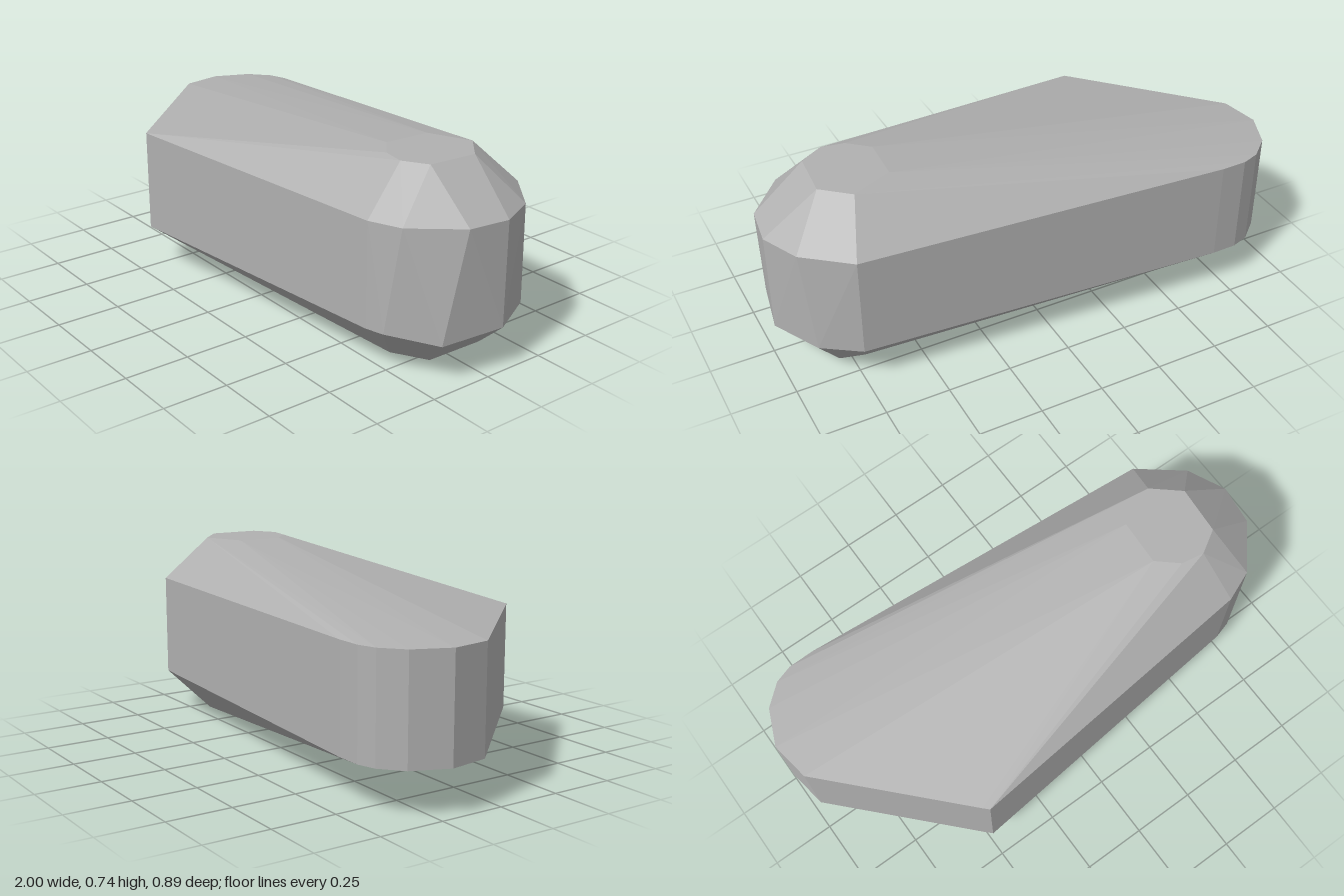
import * as THREE from 'three';
import { ConvexGeometry } from 'three/addons/geometries/ConvexGeometry.js';

export function createModel() {
  const group = new THREE.Group();
  const stoneGrey = new THREE.MeshStandardMaterial({ color: 0xb0b0b0 });
  stoneGrey.name = 'stone grey';

  // place [x, z] outline points at a height; a third number overrides it
  const ring = (y, pts) => pts.map(([x, z, h = y]) => new THREE.Vector3(x, h, z));

  // outline shared by both edges of the upright wall
  const wall = [
    [0.72, 0.32], [-0.47, 0.44], [-0.5, 0.445], [-0.52, 0.425],
    [-0.975, -0.055], [-1, -0.21], [-0.94, -0.35], [-0.86, -0.42],
    [-0.79, -0.443], [-0.69, -0.445], [0.76, -0.345], [1, -0.06],
  ];
  // the blunt end is cut differently above and below
  const upperEnd = [[0.93, -0.21], [0.98, 0.1], [0.84, 0.27]];
  const lowerEnd = [[0.9, -0.25], [0.955, 0.18, 0.155], [0.79, 0.3]];

  // small flat caps near the blunt end
  const topCap = [
    [0.69, 0.155], [0.78, 0.1], [0.795, -0.09], [0.69, -0.18],
    [0.53, -0.11], [0.52, 0.07], [0.6, 0.14],
  ];
  const bottomCap = [
    [0.66, 0.155], [0.79, 0.08], [0.795, -0.155], [0.7, -0.18],
    [0.53, -0.12], [0.5, 0.06], [0.58, 0.14],
  ];

  const stone = new THREE.Mesh(new ConvexGeometry([
    ...ring(0.74, topCap),
    ...ring(0.573, [...wall, ...upperEnd]),
    ...ring(0.172, [...wall, ...lowerEnd]),
    ...ring(0, bottomCap),
  ]), stoneGrey);
  stone.name = 'stone';
  group.add(stone);
  return group;
}
